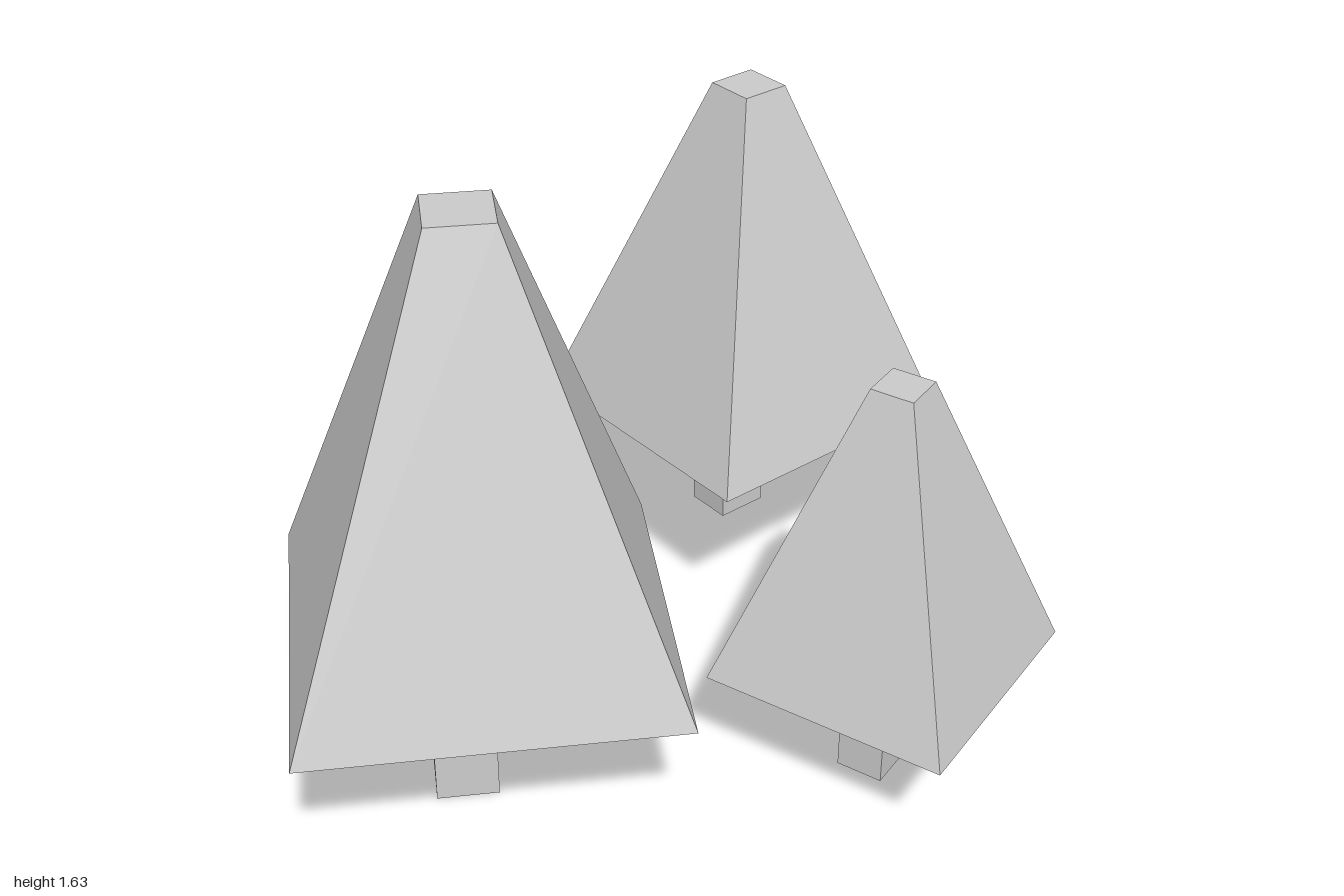
import * as THREE from 'three';

const material = new THREE.MeshStandardMaterial({ color: 0xcccccc, flatShading: true });

const TRUNK_HEIGHT = 0.47;
const CROWN_HEIGHT = 1.165;
const CROWN_BASE = 0.945; // side of the square base
const CROWN_TOP = 0.165; // side of the square top

// One tree at full size, standing on y = 0 with the crown centred on the origin
function createTree() {
  const tree = new THREE.Group();

  // Square trunk, set slightly off the crown's centre
  const trunk = new THREE.Mesh(new THREE.BoxGeometry(0.161, TRUNK_HEIGHT, 0.182), material);
  trunk.name = 'trunk';
  trunk.position.set(-0.058, TRUNK_HEIGHT / 2, 0);

  // Crown: truncated four-sided pyramid
  const crownGeometry = new THREE.CylinderGeometry(
    CROWN_TOP * Math.SQRT1_2, CROWN_BASE * Math.SQRT1_2, CROWN_HEIGHT, 4
  ).rotateY(Math.PI / 4);
  const crown = new THREE.Mesh(crownGeometry, material);
  crown.name = 'crown';
  crown.position.y = TRUNK_HEIGHT + CROWN_HEIGHT / 2;

  tree.add(trunk, crown);
  return tree;
}

export function createModel() {
  const model = new THREE.Group();
  model.name = 'treeCluster';

  // The same tree repeated at three sizes, turns and heights
  const placements = [
    { name: 'largeTree', position: [-0.502, 0, 0.428], turn: 0, scale: 1 },
    { name: 'mediumTree', position: [0.32, 0.145, -0.465], turn: -59.2, scale: 0.825 },
    { name: 'smallTree', position: [0.51, 0.022, 0.531], turn: 48.1, scale: 0.69 },
  ];
  for (const { name, position, turn, scale } of placements) {
    const tree = createTree();
    tree.name = name;
    tree.position.set(...position);
    tree.rotation.y = THREE.MathUtils.degToRad(turn);
    tree.scale.setScalar(scale);
    model.add(tree);
  }
  return model;
}
